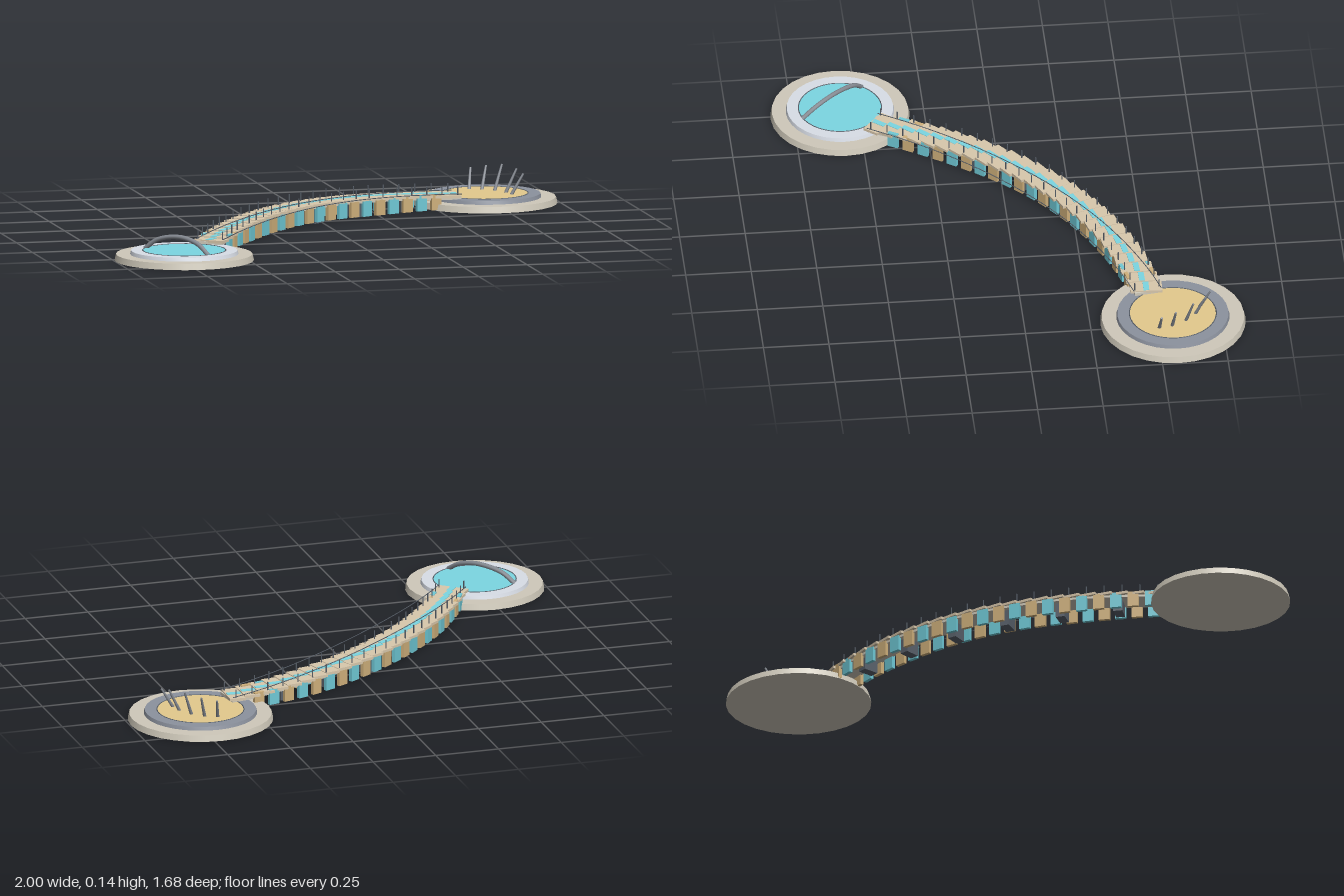
import * as THREE from 'three';
import { toCreasedNormals } from 'three/addons/utils/BufferGeometryUtils.js';

const mat = (name, color) => Object.assign(new THREE.MeshStandardMaterial({ color }), { name });
const M = {
  stone: mat('stone', 0xcfc9ba),
  pale: mat('pale stone', 0xd9dee7),
  slate: mat('slate', 0x8c929e),
  water: mat('water teal', 0x7bd7e3),
  sand: mat('sand', 0xe4ca8d),
  plank: mat('plank beige', 0xd9c8ac),
  teal: mat('panel teal', 0x70cad7),
  tan: mat('panel tan', 0xd0b17c),
  dark: mat('dark metal', 0x5a626c),
  steel: mat('steel', 0x858a92),
};
const V = (x, y, z) => new THREE.Vector3(x, y, z);
const UP = V(0, 1, 0);

// Plan of the bridge; height is added by a shallow arch
const plan = new THREE.QuadraticBezierCurve3(V(-0.61, 0, 0.46), V(-0.185, 0, -0.36), V(0.59, 0, -0.482));
const deckY = t => 0.05 + 0.028 * Math.sin(Math.PI * t);

// Point on the bridge: side > 0 is the inner side of the bend
function at(t, side = 0, dy = 0) {
  const tan = plan.getTangentAt(t);
  const p = plan.getPointAt(t).addScaledVector(V(-tan.z, 0, tan.x), side);
  p.y = deckY(t) + dy;
  return p;
}
const heading = t => {
  const d = plan.getTangentAt(t);
  return Math.atan2(-d.z, d.x);
};

function add(parent, name, geometry, material, pos) {
  const mesh = new THREE.Mesh(geometry, material);
  mesh.name = name;
  if (pos) mesh.position.copy(pos);
  parent.add(mesh);
  return mesh;
}

// Round rod between two points
function rod(parent, name, a, b, r0, r1, material, sides = 6) {
  const d = b.clone().sub(a);
  const m = add(parent, name, new THREE.CylinderGeometry(r1, r0, d.length(), sides), material,
    a.clone().add(b).multiplyScalar(0.5));
  m.quaternion.setFromUnitVectors(UP, d.normalize());
}

// Stepped round island: base, raised ring, court and its thin trim
function island(name, x, z, r, ringMat, courtMat) {
  const g = new THREE.Group();
  g.name = name;
  g.position.set(x, 0, z);
  add(g, 'base', new THREE.CylinderGeometry(r * 0.98, r, 0.024, 28), M.stone, V(0, 0.012, 0));
  const profile = [[0.778, 0.024], [0.765, 0.038], [0.595, 0.038], [0.595, 0.03]]
    .map(([k, y]) => new THREE.Vector2(r * k, y));
  add(g, 'ring', toCreasedNormals(new THREE.LatheGeometry(profile, 32), 0.6), ringMat);
  add(g, 'court', new THREE.CylinderGeometry(r * 0.597, r * 0.597, 0.013, 32), courtMat, V(0, 0.0315, 0));
  add(g, 'courtTrim', new THREE.TorusGeometry(r * 0.597, 0.002, 6, 40), M.dark, V(0, 0.038, 0)).rotation.x = Math.PI / 2;
  return g;
}

// Slab swept along the bridge
function deckGeometry(half, thick, n = 48) {
  const pos = [], idx = [];
  for (let i = 0; i <= n; i++)
    for (const [s, y] of [[-half, 0], [half, 0], [half, -thick], [-half, -thick]])
      pos.push(...at(i / n, s, y).toArray());
  for (let i = 0; i < n; i++)
    for (let k = 0; k < 4; k++) {
      const a = i * 4 + k, b = i * 4 + (k + 1) % 4;
      idx.push(a, b, a + 4, b, b + 4, a + 4);
    }
  const e = n * 4;
  idx.push(0, 2, 1, 0, 3, 2, e, e + 1, e + 2, e, e + 2, e + 3);
  const g = new THREE.BufferGeometry();
  g.setAttribute('position', new THREE.Float32BufferAttribute(pos, 3));
  g.setIndex(idx);
  return toCreasedNormals(g, 0.6);
}

function bridge() {
  const g = new THREE.Group();
  g.name = 'bridge';
  add(g, 'deckSlab', deckGeometry(0.05, 0.016), M.stone);

  // Slightly skewed planks with a dashed inlay
  const plankGeo = new THREE.BoxGeometry(0.062, 0.01, 0.122);
  const dashGeo = new THREE.BoxGeometry(0.054, 0.004, 0.022);
  const planks = 26;
  for (let i = 0; i < planks; i++) {
    const t = (i + 0.5) / planks;
    add(g, 'plank', plankGeo, M.plank, at(t, 0, -0.002)).rotation.y = heading(t) - 0.2;
    add(g, 'inlay', dashGeo, M.water, at(t, 0, 0.003)).rotation.y = heading(t) - 0.2;
  }

  // Hanging side panels in alternating colours
  const panelGeo = new THREE.BoxGeometry(0.042, 0.06, 0.014);
  for (let i = 0; i < 22; i++) {
    const t = 0.07 + 0.86 * i / 21;
    for (const s of [-1, 1]) {
      const p = at(t, s * 0.05, -0.037);
      p.y = Math.max(p.y, 0.033);
      add(g, 'sidePanel', panelGeo, i % 2 ? M.tan : M.teal, p).rotation.y = heading(t);
    }
  }

  // Piers down to the ground
  for (let i = 0; i < 6; i++) {
    const t = 0.15 + 0.7 * i / 5, h = deckY(t) - 0.012;
    const p = at(t);
    p.y = h / 2;
    add(g, 'pier', new THREE.BoxGeometry(0.035, h, 0.06), M.dark, p).rotation.y = heading(t);
  }

  // Posts on both edges, and two cables that bend less than the deck
  for (const s of [-1, 1]) {
    for (let i = 0; i < 24; i++) {
      const t = 0.01 + 0.98 * i / 23;
      rod(g, 'post', at(t, s * 0.048, -0.005), at(t, s * 0.048, 0.036), 0.0025, 0.0025, M.dark, 5);
    }
    const pts = [];
    for (let i = 0; i <= 16; i++) pts.push(at(i / 16, s * 0.053 + 0.067 * Math.sin(Math.PI * i / 16), 0.008));
    add(g, 'cable', new THREE.TubeGeometry(new THREE.CatmullRomCurve3(pts), 64, 0.0017, 5), M.dark);
  }
  return g;
}

export function createModel() {
  const model = new THREE.Group();
  model.name = 'islandBridge';
  model.add(island('waterIsland', -0.735, 0.57, 0.265, M.pale, M.water));
  model.add(island('sandIsland', 0.72, -0.565, 0.277, M.slate, M.sand));
  model.add(bridge());

  // Arch over the water court
  const arch = new THREE.CatmullRomCurve3([
    V(-0.865, 0.036, 0.475), V(-0.825, 0.073, 0.51), V(-0.757, 0.09, 0.585),
    V(-0.705, 0.073, 0.66), V(-0.677, 0.036, 0.72),
  ]);
  add(model, 'arch', new THREE.TubeGeometry(arch, 32, 0.009, 8), M.steel);

  // Leaning masts on the sand court: base x, z, tip x, y, z
  for (const [x, z, tx, ty, tz] of [
    [0.685, -0.67, 0.7, 0.115, -0.71], [0.73, -0.65, 0.755, 0.125, -0.685],
    [0.77, -0.61, 0.805, 0.135, -0.635], [0.8, -0.555, 0.845, 0.127, -0.565],
    [0.81, -0.505, 0.858, 0.115, -0.51],
  ]) rod(model, 'mast', V(x, 0.036, z), V(tx, ty, tz), 0.007, 0.004, M.steel);
  return model;
}
